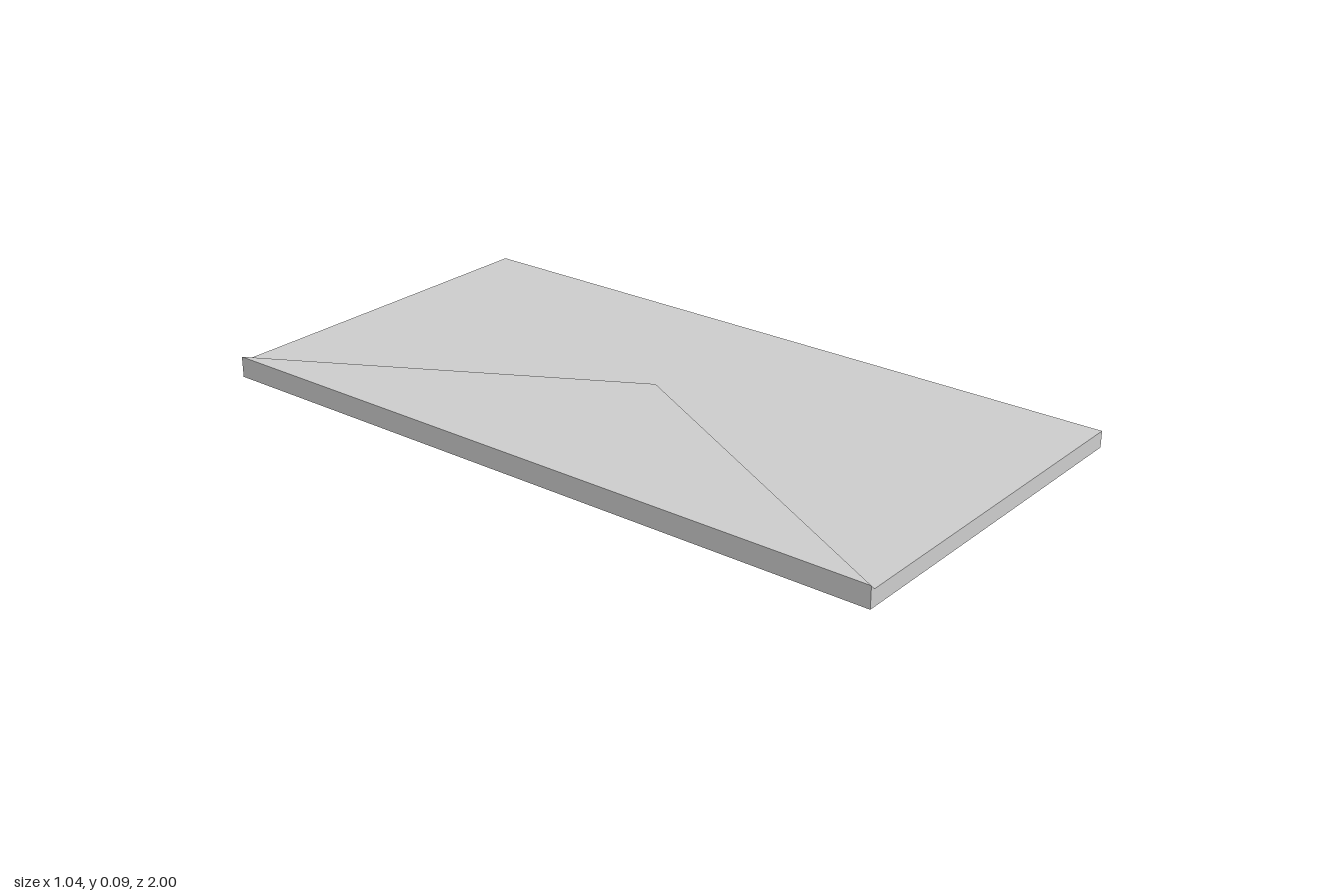
import * as THREE from 'three';

const HALF_W = 0.518, HALF_L = 1, BODY_BOTTOM = 0.015, BODY_TOP = 0.06;

function block(name, material, [x0, x1], [y0, y1], [z0, z1]) {
  const mesh = new THREE.Mesh(new THREE.BoxGeometry(x1 - x0, y1 - y0, z1 - z0), material);
  mesh.position.set((x0 + x1) / 2, (y0 + y1) / 2, (z0 + z1) / 2);
  mesh.name = name;
  return mesh;
}

// Triangular flap: thin along the hinge, rising to its point, with slanted side walls
function flapGeometry() {
  const edgeTop = 0.073, pointTop = 0.09, inner = -0.505;
  const positions = [
    -HALF_W, edgeTop, HALF_L, 0, pointTop, 0, -HALF_W, edgeTop, -HALF_L, // top: 0, 1, 2
    -HALF_W, BODY_TOP, HALF_L, inner, BODY_TOP, HALF_L, // front corner: 3, 4
    0, BODY_TOP, 0, // foot of the point: 5
    inner, BODY_TOP, -HALF_L, -HALF_W, BODY_TOP, -HALF_L, // back corner: 6, 7
  ];
  const indices = [
    0, 1, 2, // top
    4, 5, 1, 4, 1, 0, 3, 4, 0, // front wall and end
    6, 1, 5, 6, 2, 1, 7, 2, 6, // back wall and end
    7, 3, 0, 7, 0, 2, // hinge edge
  ];
  const geometry = new THREE.BufferGeometry();
  geometry.setAttribute('position', new THREE.Float32BufferAttribute(positions, 3));
  geometry.setIndex(indices);
  const flat = geometry.toNonIndexed();
  flat.computeVertexNormals();
  return flat;
}

export function createModel() {
  const paper = new THREE.MeshStandardMaterial({ color: 0xcccccc, flatShading: true });
  const tan = new THREE.MeshStandardMaterial({ color: 0xeccf98, flatShading: true });
  const envelope = new THREE.Group();
  envelope.name = 'envelope';

  // Flat body
  envelope.add(block('body', paper, [-HALF_W, HALF_W], [BODY_BOTTOM, BODY_TOP], [-HALF_L, HALF_L]));

  // Closing flap on top
  const flap = new THREE.Mesh(flapGeometry(), paper);
  flap.name = 'flap';
  envelope.add(flap);

  // Stamp on the underside
  envelope.add(block('stamp', tan, [-0.372, -0.028], [0, BODY_BOTTOM], [0.61, 0.87]));

  return envelope;
}
